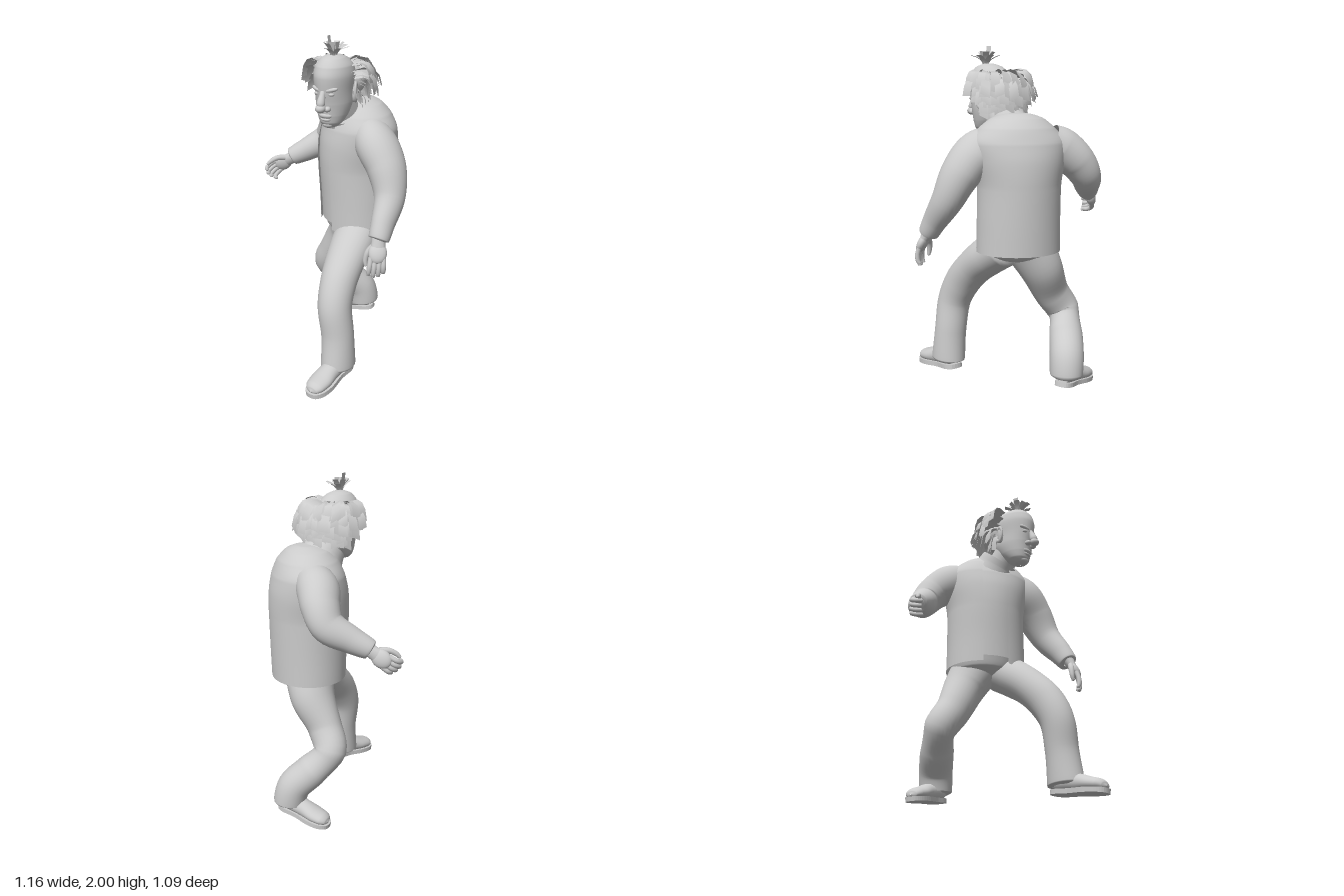
import * as THREE from 'three';
import { ParametricGeometry } from 'three/addons/geometries/ParametricGeometry.js';

const V = (x, y, z) => new THREE.Vector3(x, y, z);
const grey = new THREE.MeshStandardMaterial({ color: 0xcccccc });
const thin = new THREE.MeshStandardMaterial({ color: 0xcccccc, side: THREE.DoubleSide });
const X = V(1, 0, 0);

function add(parent, name, geometry, material = grey) {
  const m = new THREE.Mesh(geometry, material);
  m.name = name;
  parent.add(m);
  return m;
}

// Smooth skin over rows of [x, y, z, radiusA, radiusB].
// With yaw: level rings (A sideways, B fore-aft). Without: rings square to the path (B along x).
// gap leaves a slit of that half angle at the front.
function loft(rows, { yaw, gap = 0, nu = 28, nv = rows.length * 5 } = {}) {
  const path = new THREE.CatmullRomCurve3(rows.map(r => V(r[0], r[1], r[2])));
  const radii = new THREE.CatmullRomCurve3(rows.map(r => V(r[3], r[4], 0)));
  return new ParametricGeometry((u, v, out) => {
    v = Math.min(1, Math.max(0, v));
    const t = -Math.PI / 2 + gap + u * (Math.PI * 2 - 2 * gap);
    const c = path.getPoint(v), r = radii.getPoint(v);
    const ra = Math.max(r.x, 0.0005), rb = Math.max(r.y, 0.0005);
    if (yaw !== undefined) {
      out.set(ra * Math.cos(t), 0, -rb * Math.sin(t)).applyAxisAngle(V(0, 1, 0), yaw).add(c);
    } else {
      const T = path.getTangent(v), N = X.clone().cross(T).normalize(), B = T.clone().cross(N);
      out.copy(c).addScaledVector(N, ra * Math.cos(t)).addScaledVector(B, rb * Math.sin(t));
    }
  }, nu, nv);
}

function blob(parent, name, pos, scale, rot = [0, 0, 0]) {
  const m = add(parent, name, new THREE.SphereGeometry(1, 18, 12));
  m.position.set(...pos);
  m.scale.set(...scale);
  m.rotation.set(...rot);
  return m;
}

// Flat lock of hair along a bent line
function lock(parent, name, a, b, c, side, width) {
  const curve = new THREE.QuadraticBezierCurve3(a, b, c);
  add(parent, name, new ParametricGeometry((u, v, out) => {
    out.copy(curve.getPoint(Math.min(1, Math.max(0, v)))).addScaledVector(side, (u - 0.5) * width * (0.75 + 0.25 * v));
  }, 1, 4), thin);
}

function makeHead() {
  const head = new THREE.Group();
  head.name = 'head';
  add(head, 'skull', loft([
    [0, 1.492, 0.05, 0.004, 0.004], [0, 1.5, 0.048, 0.035, 0.035], [0, 1.525, 0.035, 0.064, 0.068],
    [0, 1.57, 0.015, 0.084, 0.1], [0, 1.63, 0, 0.097, 0.125], [0, 1.7, 0, 0.1, 0.138],
    [0, 1.78, 0, 0.107, 0.147], [0, 1.84, 0.005, 0.098, 0.127], [0, 1.88, 0.012, 0.066, 0.085],
    [0, 1.897, 0.015, 0.03, 0.035], [0, 1.9, 0.015, 0.001, 0.001]], { yaw: 0 }));
  add(head, 'noseBridge', loft([
    [0, 1.725, 0.122, 0.012, 0.015], [0, 1.69, 0.137, 0.018, 0.017], [0, 1.65, 0.153, 0.024, 0.023], [0, 1.618, 0.158, 0.01, 0.01]]));
  blob(head, 'noseTip', [0, 1.622, 0.157], [0.029, 0.024, 0.031]);
  blob(head, 'upperLip', [0, 1.572, 0.098], [0.042, 0.018, 0.024]);
  blob(head, 'lowerLip', [0, 1.549, 0.093], [0.034, 0.012, 0.024]);
  blob(head, 'chin', [0, 1.517, 0.073], [0.036, 0.022, 0.028]);
  for (const s of [-1, 1]) {
    blob(head, 'nostril', [s * 0.027, 1.616, 0.128], [0.019, 0.016, 0.022]);
    blob(head, 'eye', [s * 0.041, 1.697, 0.113], [0.02, 0.011, 0.017]);
    blob(head, 'brow', [s * 0.042, 1.722, 0.117], [0.04, 0.013, 0.017], [0, s * 0.35, s * 0.2]);
    blob(head, 'ear', [s * 0.108, 1.688, -0.033], [0.012, 0.055, 0.032], [-0.15, s * 0.35, 0]);
    const rim = add(head, 'earRim', new THREE.TorusGeometry(0.029, 0.008, 8, 20));
    rim.position.set(s * 0.116, 1.692, -0.033);
    rim.scale.y = 1.65;
    rim.rotation.set(0, Math.PI / 2 + s * 0.35, 0);
  }

  // Layered fringe of hair round the sides and back, open over the ears
  let seed = 7;
  const rnd = () => (seed = (seed * 16807) % 2147483647) / 2147483647;
  blob(head, 'hairMass', [0, 1.735, -0.11], [0.125, 0.1, 0.12]);
  const layers = [[0.62, 1.1], [0.8, 1.15], [0.95, 1.25], [1, 1.42], [0.92, 1.48]];
  layers.forEach(([reach, spread], layer) => {
    for (let i = 0; i < 20; i++) {
      const phi = (i / 19 * 2 - 1) * spread + (rnd() - 0.5) * 0.12;
      const dir = V(Math.sin(phi), 0, -Math.cos(phi)), side = V(Math.cos(phi), 0, Math.sin(phi));
      side.y = (rnd() - 0.5) * 1.2;
      const R = reach * (0.92 + rnd() * 0.14), y = 1.68 + layer * 0.037 + rnd() * 0.02;
      const at = (f, h) => V(dir.x * 0.235 * f, h, dir.z * 0.29 * f);
      lock(head, 'hairLock', at(0.42, y), at(R * 0.95, y + 0.045), at(R, y - 0.075 - rnd() * 0.035), side, 0.055);
    }
  });

  // Tuft on the crown
  for (let i = 0; i < 14; i++) {
    const phi = i * 2.4, f = i % 3, dir = V(Math.sin(phi), 0, Math.cos(phi));
    const at = (r, y) => V(0.01 + dir.x * r, y, 0.03 + dir.z * r);
    lock(head, 'tuftLock', at(0.008, 1.885), at(0.02, 1.93), at([0.085, 0.055, 0.03][f], [1.945, 1.965, i === 2 ? 2 : 1.97][f]),
      V(Math.cos(phi), 0, -Math.sin(phi)), 0.036);
  }
  head.position.set(0.105, 0, 0.08);
  head.rotation.y = 0.16;
  return head;
}

// Hand: fingers along -y, palm facing +z, thumb on the given side
function makeHand(name, wrist, fingers, palm, thumbSide, curl) {
  const hand = new THREE.Group();
  hand.name = name;
  add(hand, 'wrist', loft([[0, 0.03, 0, 0.03, 0.034], [0, 0, 0, 0.027, 0.032], [0, -0.04, 0, 0.02, 0.035]], { nu: 14 }));
  blob(hand, 'palm', [0, -0.055, 0], [0.043, 0.05, 0.024]);
  for (let i = 0; i < 4; i++) {
    const x = thumbSide * (0.032 - i * 0.021), l = [0.92, 1, 0.95, 0.78][i];
    add(hand, 'finger', loft([
      [x * 0.9, -0.075, 0, 0.012, 0.012], [x, -0.085 - 0.035 * l, 0.006 + curl * 0.01, 0.0125, 0.012],
      [x * 1.05, -0.085 - 0.07 * l + curl * 0.02, 0.012 + curl * 0.035, 0.011, 0.011],
      [x * 1.05, -0.085 - 0.095 * l + curl * 0.055, 0.02 + curl * 0.05, 0.009, 0.009],
      [x * 1.05, -0.085 - 0.1 * l + curl * 0.062, 0.021 + curl * 0.051, 0.001, 0.001]], { nu: 10, nv: 16 }));
  }
  const t = thumbSide;
  add(hand, 'thumb', loft([
    [t * 0.022, -0.025, 0.006, 0.016, 0.016], [t * 0.045, -0.055, 0.018, 0.015, 0.014],
    [t * 0.052, -0.09, 0.032, 0.012, 0.012], [t * 0.048, -0.115, 0.04, 0.008, 0.008], [t * 0.047, -0.12, 0.042, 0.001, 0.001]], { nu: 10, nv: 16 }));
  const y = V(...fingers).normalize().negate(), x = y.clone().cross(V(...palm)).normalize();
  hand.quaternion.setFromRotationMatrix(new THREE.Matrix4().makeBasis(x, y, x.clone().cross(y)));
  hand.position.set(...wrist);
  hand.scale.setScalar(1.22);
  return hand;
}

function makeShoe(name, pos, yaw, pitch, scale) {
  const shoe = new THREE.Group();
  shoe.name = name;
  add(shoe, 'upper', loft([
    [0, 0.05, -0.14, 0.004, 0.004], [0, 0.06, -0.132, 0.04, 0.045], [0, 0.068, -0.06, 0.058, 0.06],
    [0, 0.062, 0.04, 0.054, 0.06], [0, 0.052, 0.12, 0.044, 0.068], [0, 0.046, 0.185, 0.036, 0.06],
    [0, 0.04, 0.215, 0.022, 0.038], [0, 0.04, 0.227, 0.002, 0.002]]));
  const half = [[0.035, -0.138], [0.058, -0.1], [0.056, 0], [0.072, 0.11], [0.062, 0.19], [0.03, 0.23]];
  const outline = [...half, ...half.slice().reverse().map(([x, z]) => [-x, z])].map(([x, z]) => V(x, -z, 0));
  const pts = new THREE.CatmullRomCurve3(outline, true).getPoints(44).slice(0, -1);
  const sole = add(shoe, 'sole', new THREE.ExtrudeGeometry(new THREE.Shape(pts.map(p => new THREE.Vector2(p.x, p.y))),
    { depth: 0.028, bevelEnabled: false }));
  sole.rotation.x = -Math.PI / 2;
  shoe.position.set(...pos);
  shoe.rotation.set(pitch, yaw, 0, 'YXZ');
  shoe.scale.setScalar(scale);
  return shoe;
}

export function createModel() {
  const model = new THREE.Group();
  model.name = 'walkingMan';
  const yaw = -0.47;

  // Jacket with open front over a shirt
  const torso = [
    [0.095, 0.825, -0.165, 0.246, 0.222], [0.093, 1, -0.165, 0.243, 0.228], [0.088, 1.2, -0.163, 0.243, 0.236],
    [0.09, 1.35, -0.162, 0.268, 0.232], [0.095, 1.45, -0.16, 0.278, 0.212], [0.1, 1.53, -0.158, 0.225, 0.178],
    [0.1, 1.59, -0.16, 0.15, 0.122], [0.1, 1.615, -0.165, 0.07, 0.06], [0.1, 1.62, -0.165, 0.002, 0.002]];
  add(model, 'jacket', loft(torso, { yaw, gap: 0.33, nu: 44 }), thin);
  add(model, 'shirt', loft(torso.map(([x, y, z, a, b], i) => [x, i ? y - 0.004 : 0.865, z, Math.max(a - 0.012, 0.001), Math.max(b - 0.01, 0.001)]),
    { yaw, nu: 36 }), thin);
  add(model, 'collar', loft([[0.085, 1.5, -0.09, 0.15, 0.15], [0.088, 1.545, -0.055, 0.13, 0.128], [0.092, 1.575, -0.03, 0.122, 0.122]]), thin);
  add(model, 'neck', loft([[0.095, 1.5, -0.07, 0.092, 0.092], [0.1, 1.56, -0.02, 0.085, 0.085], [0.105, 1.63, 0.03, 0.08, 0.08]]));

  // Sleeves
  add(model, 'leftSleeve', loft([
    [0.22, 1.43, -0.09, 0.125, 0.11], [0.31, 1.385, -0.045, 0.134, 0.12], [0.4, 1.275, -0.02, 0.122, 0.11],
    [0.46, 1.13, 0.025, 0.096, 0.088], [0.485, 1.0, 0.12, 0.076, 0.066], [0.495, 0.925, 0.17, 0.06, 0.058], [0.495, 0.92, 0.173, 0.03, 0.03]]), thin);
  add(model, 'rightSleeve', loft([
    [-0.065, 1.445, -0.245, 0.115, 0.11], [-0.135, 1.41, -0.275, 0.125, 0.12], [-0.215, 1.335, -0.325, 0.112, 0.106],
    [-0.28, 1.25, -0.33, 0.098, 0.09], [-0.37, 1.18, -0.25, 0.078, 0.075], [-0.455, 1.125, -0.175, 0.056, 0.056], [-0.459, 1.122, -0.172, 0.03, 0.03]]), thin);
  model.add(makeHand('leftHand', [0.5, 0.92, 0.18], [0.22, -0.87, 0.38], [-0.6, 0, -0.8], 1, 0.3));
  model.add(makeHand('rightHand', [-0.458, 1.115, -0.17], [-0.72, -0.5, 0.36], [0.3, -0.3, 0.8], -1, 0.9));

  // Trousers
  add(model, 'trouserSeat', loft([
    [0.09, 0.765, -0.165, 0.002, 0.002], [0.09, 0.772, -0.165, 0.11, 0.1],
    [0.09, 0.815, -0.165, 0.2, 0.18], [0.09, 0.88, -0.165, 0.22, 0.2]], { yaw }));
  add(model, 'leftTrouserLeg', loft([
    [0.16, 0.87, -0.16, 0.06, 0.07], [0.168, 0.84, -0.11, 0.12, 0.13], [0.19, 0.775, -0.005, 0.118, 0.132],
    [0.215, 0.685, 0.112, 0.11, 0.12], [0.238, 0.58, 0.205, 0.11, 0.107], [0.258, 0.46, 0.262, 0.103, 0.1],
    [0.285, 0.28, 0.268, 0.098, 0.097], [0.298, 0.09, 0.277, 0.113, 0.097], [0.298, 0.08, 0.277, 0.07, 0.07]]), thin);
  add(model, 'rightTrouserLeg', loft([
    [0.045, 0.85, -0.2, 0.155, 0.14], [-0.02, 0.72, -0.23, 0.138, 0.125], [-0.118, 0.55, -0.22, 0.1, 0.108],
    [-0.19, 0.43, -0.245, 0.098, 0.1], [-0.13, 0.31, -0.34, 0.098, 0.1], [-0.065, 0.21, -0.42, 0.1, 0.1],
    [-0.045, 0.11, -0.44, 0.098, 0.095], [-0.045, 0.1, -0.44, 0.06, 0.06]]), thin);
  model.add(makeShoe('leftShoe', [0.305, 0.028, 0.318], 0.02, 0.12, 1));
  model.add(makeShoe('rightShoe', [-0.1, 0.036, -0.42], -1.25, 0.15, 0.92));

  model.add(makeHead());
  return model;
}
